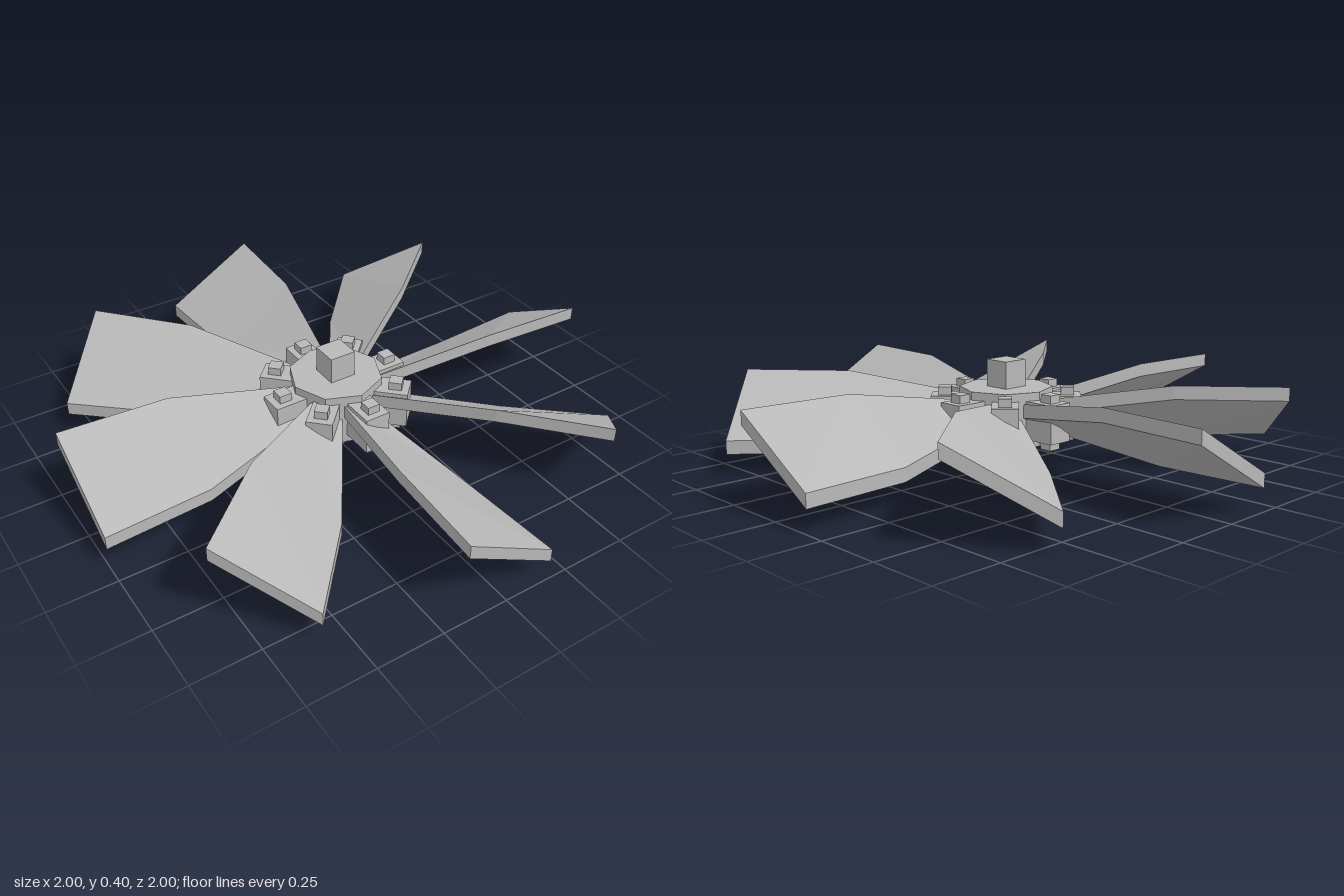
import * as THREE from 'three';

const BLADES = 8;
const MID_Y = 0.205;

// Twisted blade pointing along +z, lofted through [radius, half width, half rise]
function bladeGeometry() {
  const sections = [[0.15, 0.058, 0.03], [0.6, 0.15, 0.1], [1, 0.175, 0.1]];
  const half = 0.025;
  const rings = sections.map(([z, w, h]) => [
    [-w, MID_Y + h + half, z],
    [w, MID_Y - h + half, z],
    [w, MID_Y - h - half, z],
    [-w, MID_Y + h - half, z],
  ]);
  const pos = [];
  const quad = (a, b, c, d) => pos.push(...a, ...b, ...c, ...a, ...c, ...d);
  for (let s = 0; s < rings.length - 1; s++) {
    for (let i = 0; i < 4; i++) {
      const j = (i + 1) % 4;
      quad(rings[s][i], rings[s + 1][i], rings[s + 1][j], rings[s][j]);
    }
  }
  const root = rings[0];
  const tip = rings[rings.length - 1];
  quad(root[0], root[1], root[2], root[3]);
  quad(tip[0], tip[3], tip[2], tip[1]);
  const geo = new THREE.BufferGeometry();
  geo.setAttribute('position', new THREE.Float32BufferAttribute(pos, 3));
  geo.computeVertexNormals();
  return geo;
}

export function createModel() {
  const group = new THREE.Group();
  group.name = 'fan';
  const metal = new THREE.MeshStandardMaterial({ color: 0xb8b8b8, flatShading: true });
  metal.name = 'grey metal';

  const add = (parent, name, geo, y = 0, z = 0) => {
    const mesh = new THREE.Mesh(geo, metal);
    mesh.name = name;
    mesh.position.set(0, y, z);
    parent.add(mesh);
  };

  // Octagonal hub and square shaft
  add(group, 'hub', new THREE.CylinderGeometry(0.172, 0.172, 0.2, 8), 0.2);
  add(group, 'shaft', new THREE.BoxGeometry(0.1, 0.4, 0.1), 0.2);

  // Blades, each with a clamp block and a bolt through it
  const blade = bladeGeometry();
  const block = new THREE.BoxGeometry(0.096, 0.14, 0.14);
  const bolt = new THREE.BoxGeometry(0.048, 0.2, 0.048);
  for (let i = 0; i < BLADES; i++) {
    const arm = new THREE.Group();
    arm.name = 'bladeArm' + (i + 1);
    arm.rotation.y = (i / BLADES) * Math.PI * 2;
    add(arm, 'blade', blade);
    add(arm, 'clampBlock', block, 0.2, 0.205);
    add(arm, 'bolt', bolt, 0.2, 0.225);
    group.add(arm);
  }
  return group;
}
